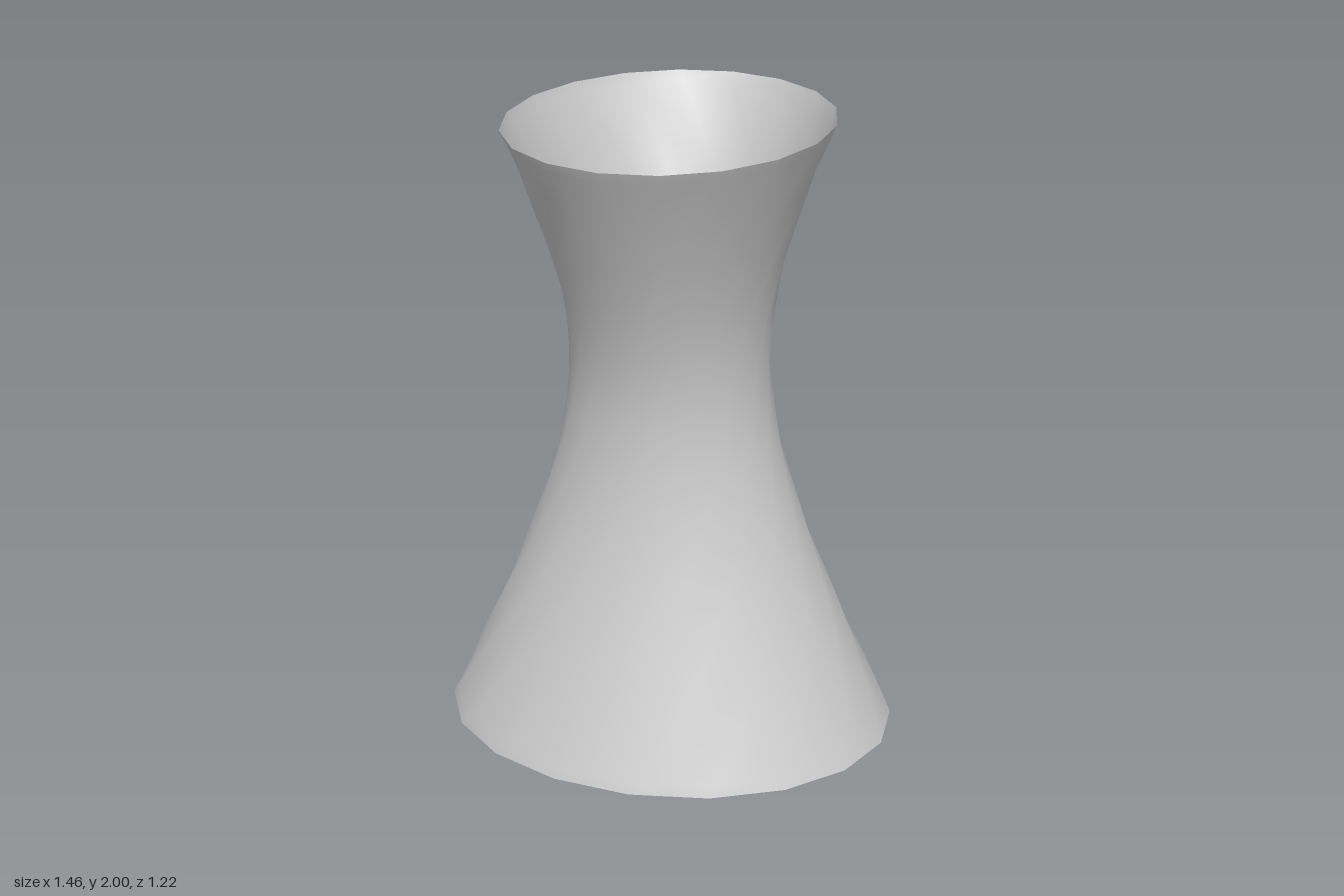
import * as THREE from 'three';

const SIDES = 18, RINGS = 64, HEIGHT = 2;
const TWIST = THREE.MathUtils.degToRad(113);

// Hyperbolic half-width at height y: end widths and a waist at its own height
function halfWidth(y, bottom, waist, top, waistY) {
  const end = y < waistY ? bottom : top;
  const reach = y < waistY ? waistY : HEIGHT - waistY;
  const t = (y - waistY) / reach;
  return Math.sqrt(waist * waist + (end * end - waist * waist) * t * t);
}

// Open, twisted shell lofted through elliptical rings
function towerGeometry() {
  const positions = [], indices = [];
  for (let j = 0; j <= RINGS; j++) {
    const s = j / RINGS, y = s * HEIGHT;
    const rx = halfWidth(y, 0.737, 0.317, 0.504, 1.26);
    const rz = halfWidth(y, 0.61, 0.319, 0.61, 1.11);
    const turn = Math.PI / 2 + TWIST * (0.5 - s);
    for (let i = 0; i < SIDES; i++) {
      const a = turn + (i / SIDES) * Math.PI * 2;
      positions.push(rx * Math.cos(a), y, rz * Math.sin(a));
    }
  }
  for (let j = 0; j < RINGS; j++) {
    for (let i = 0; i < SIDES; i++) {
      const n = (i + 1) % SIDES;
      const a = j * SIDES + i, b = j * SIDES + n;
      const c = a + SIDES, d = b + SIDES;
      // split along the diagonal that keeps the twisted facets convex
      indices.push(a, c, d, a, d, b);
    }
  }
  const geometry = new THREE.BufferGeometry();
  geometry.setAttribute('position', new THREE.Float32BufferAttribute(positions, 3));
  geometry.setIndex(indices);
  geometry.computeVertexNormals();
  return geometry;
}

export function createModel() {
  const group = new THREE.Group();
  group.name = 'hyperboloidTower';
  const material = new THREE.MeshStandardMaterial({ color: 0xcccccc, side: THREE.DoubleSide });
  const shell = new THREE.Mesh(towerGeometry(), material);
  shell.name = 'towerShell';
  group.add(shell);
  return group;
}
